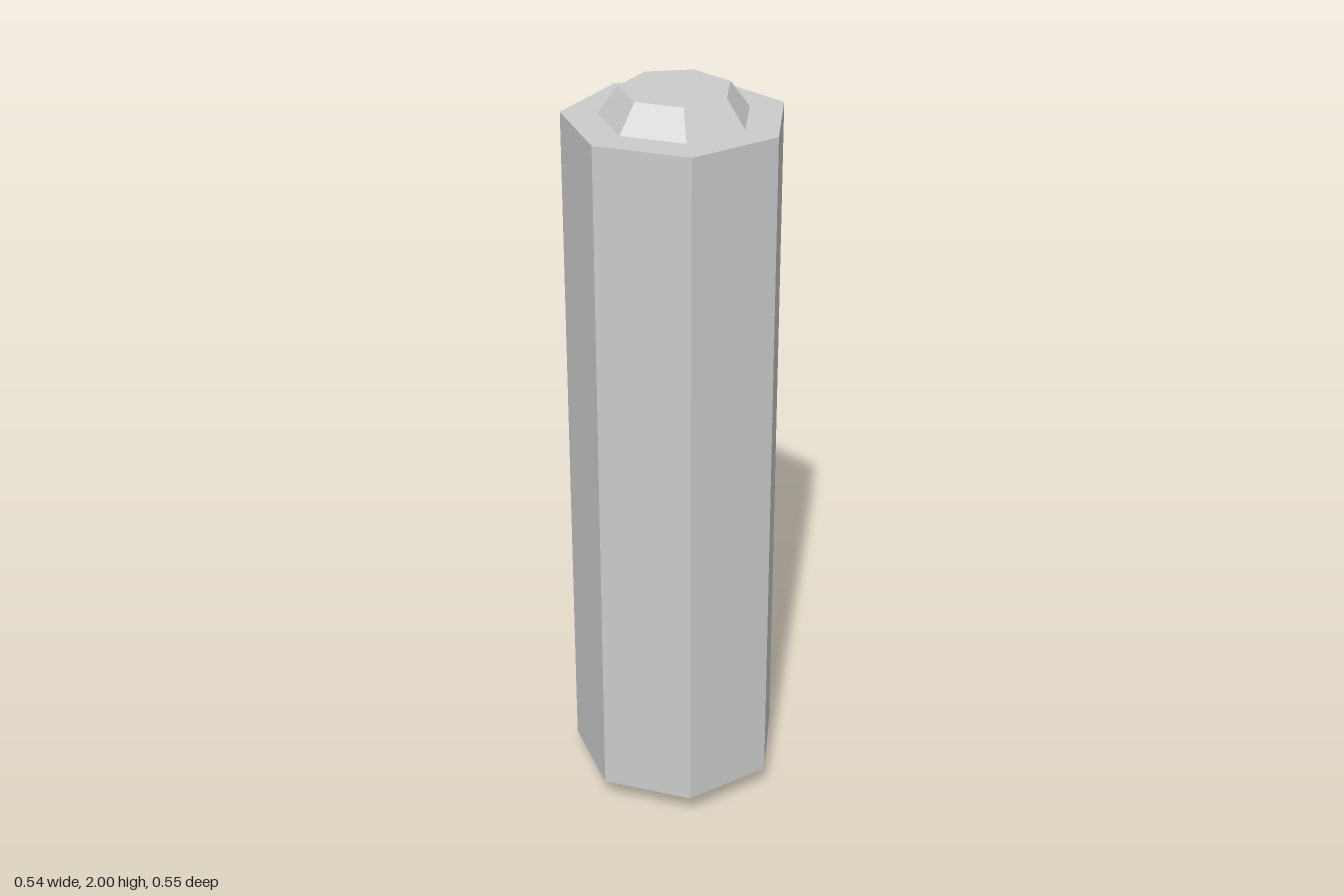
import * as THREE from 'three';

const SIDES = 7;
const AXIS_X = -0.0144; // shifts the odd-sided prism so its bounds are centred on x

export function createModel() {
  const group = new THREE.Group();
  group.name = 'heptagonalRod';
  const material = new THREE.MeshStandardMaterial({ color: 0xcccccc, flatShading: true });

  // Seven-sided section with one corner pointing to +x
  function section(name, rTop, rBottom, yBottom, yTop) {
    const geometry = new THREE.CylinderGeometry(
      rTop, rBottom, yTop - yBottom, SIDES, 1, false, Math.PI / 2);
    const mesh = new THREE.Mesh(geometry, material);
    mesh.name = name;
    mesh.position.set(AXIS_X, (yBottom + yTop) / 2, 0);
    group.add(mesh);
  }

  // Main shaft, with a tapered cap at each end
  section('shaft', 0.2846, 0.2846, 0.071, 1.929);
  section('topCap', 0.1415, 0.193, 1.929, 2);
  section('bottomCap', 0.193, 0.1415, 0, 0.071);

  return group;
}
